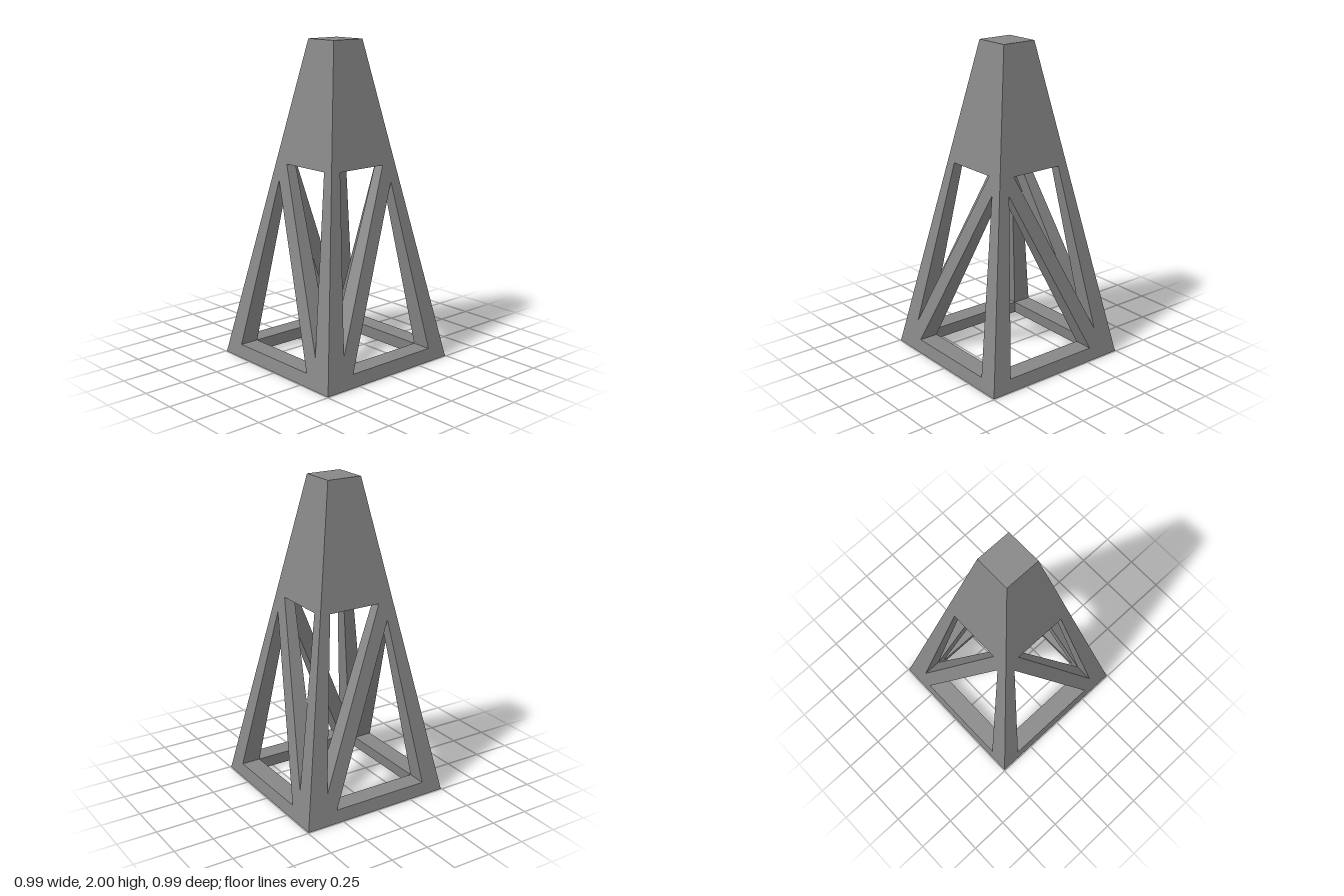
import * as THREE from 'three';

const H = 2, BASE = 0.495, TOP = 0.115, WALL = 0.742;
const outer = y => BASE + (TOP - BASE) * y / H;   // half width of the outside at height y
const inner = y => WALL * outer(y);               // half width of the inner skin

// One sloping wall: outer skin, inner skin and the sides of two triangular openings
// that leave a diagonal brace. side = -1 mirrors the brace.
function wallGeometry(side) {
  const pts = list => list.map(([x, y]) => new THREE.Vector2(side * x, y));
  const shape = new THREE.Shape(pts([[-BASE, 0], [BASE, 0], [TOP, H], [-TOP, H]]));
  shape.holes.push(
    new THREE.Path(pts([[-inner(0.08), 0.08], [-inner(1.14), 1.14], [0.285, 0.08]])),
    new THREE.Path(pts([[-0.155, 1.245], [inner(1.245), 1.245], [inner(0.19), 0.19]]))
  );
  const p = new THREE.ExtrudeGeometry(shape, { depth: 1, bevelEnabled: false }).attributes.position;
  const onOutline = i => p.getY(i) < 0.001 || p.getY(i) > H - 0.001;
  const corners = [];
  for (let t = 0; t < p.count; t += 3) {
    const tri = [t, t + 1, t + 2];
    if (tri.every(onOutline)) continue;            // the rim between the skins stays open
    for (const i of tri) {
      const y = p.getY(i), isFront = p.getZ(i) > 0.5;
      const x = p.getX(i) * (!isFront && onOutline(i) ? WALL : 1);
      corners.push(x, y, isFront ? outer(y) : inner(y));
    }
  }
  const geo = new THREE.BufferGeometry();
  geo.setAttribute('position', new THREE.Float32BufferAttribute(corners, 3));
  geo.computeVertexNormals();
  return geo;
}

export function createModel() {
  const group = new THREE.Group();
  group.name = 'tower';
  const material = new THREE.MeshStandardMaterial({
    color: 0x868686, flatShading: true, side: THREE.DoubleSide
  });

  // front and back share one brace direction, the two sides mirror it
  const geos = [wallGeometry(1), wallGeometry(-1)];
  ['frontWall', 'leftWall', 'backWall', 'rightWall'].forEach((name, i) => {
    const wall = new THREE.Mesh(geos[i % 2], material);
    wall.name = name;
    wall.rotation.y = i * Math.PI / 2;
    group.add(wall);
  });

  // flat square top
  const cap = new THREE.Mesh(new THREE.PlaneGeometry(2 * TOP, 2 * TOP), material);
  cap.name = 'topCap';
  cap.rotation.x = -Math.PI / 2;
  cap.position.y = H;
  group.add(cap);
  return group;
}
